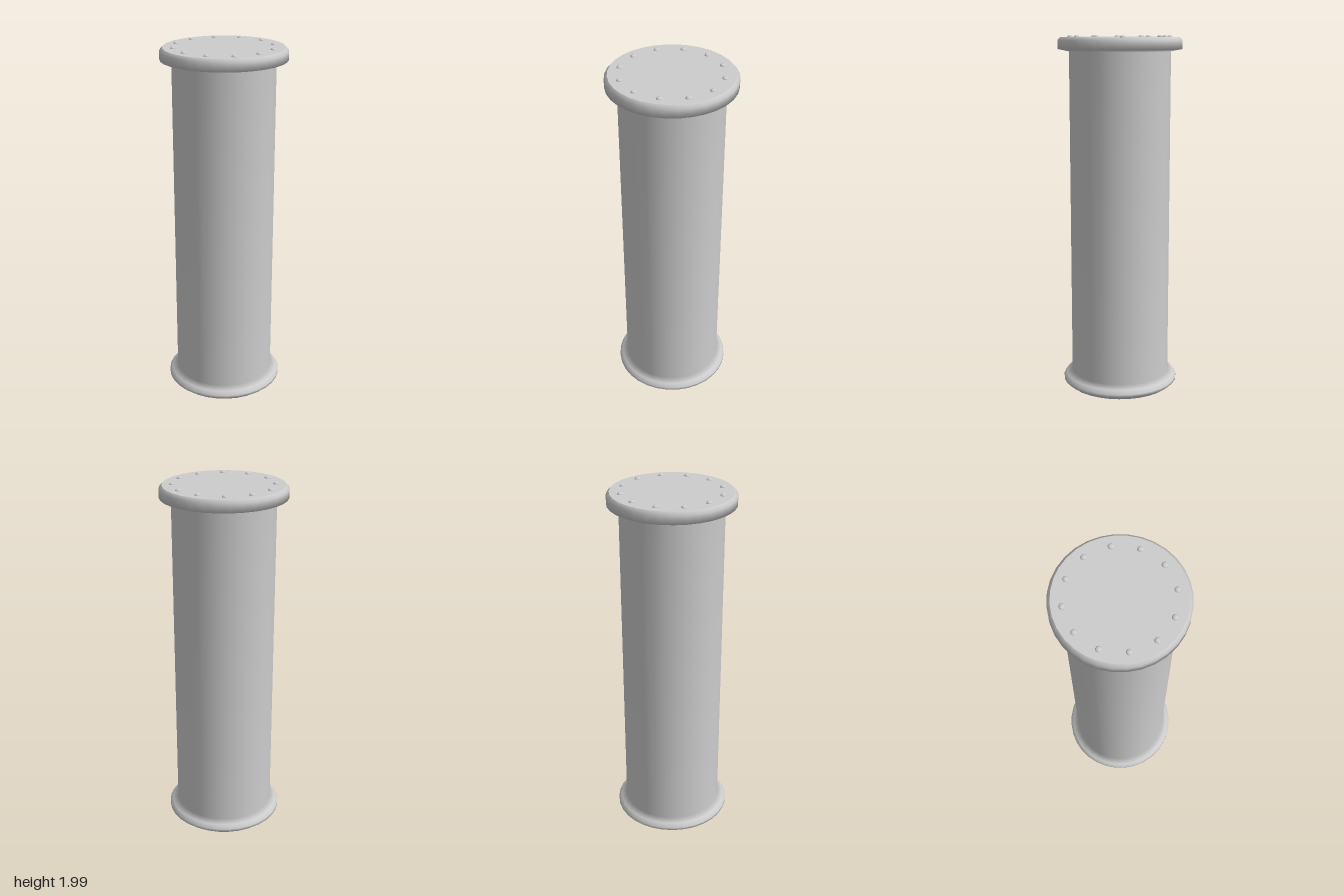
import * as THREE from 'three';

const SIDES = 32;

export function createModel() {
  const model = new THREE.Group();
  model.name = 'flangedColumn';
  const grey = new THREE.MeshStandardMaterial({ color: 0xcccccc });
  grey.name = 'light grey';

  const add = (name, geometry, parent = model) => {
    const mesh = new THREE.Mesh(geometry, grey);
    mesh.name = name;
    parent.add(mesh);
    return mesh;
  };

  // Shaft with its foot and top flange, one smooth profile
  const profile = [
    [0.304, 0.005], [0.328, 0.025], [0.328, 0.04], [0.312, 0.062], [0.28, 0.08],
    [0.28, 1.912], [0.343, 1.925], [0.343, 1.972], [0.327, 1.989],
  ].map(([r, y]) => new THREE.Vector2(r, y));
  add('columnShaft', new THREE.LatheGeometry(profile, SIDES));

  // Flat end caps with sharp rims
  const topCap = add('topCap', new THREE.CircleGeometry(0.327, SIDES).rotateX(-Math.PI / 2));
  topCap.position.y = 1.989;
  const bottomCap = add('bottomCap', new THREE.CircleGeometry(0.304, SIDES).rotateX(Math.PI / 2));
  bottomCap.position.y = 0.005;

  // Ring of domed rivets on the top cap
  const rivets = new THREE.Group();
  rivets.name = 'rivets';
  model.add(rivets);
  const dome = new THREE.SphereGeometry(0.017, 8, 4, 0, Math.PI * 2, 0, Math.PI / 2);
  dome.scale(1, 0.7, 1);
  for (let i = 0; i < 12; i++) {
    const a = (i / 12) * Math.PI * 2;
    const rivet = add('rivet', dome, rivets);
    rivet.position.set(0.272 * Math.cos(a), 1.988, 0.272 * Math.sin(a));
  }

  return model;
}
